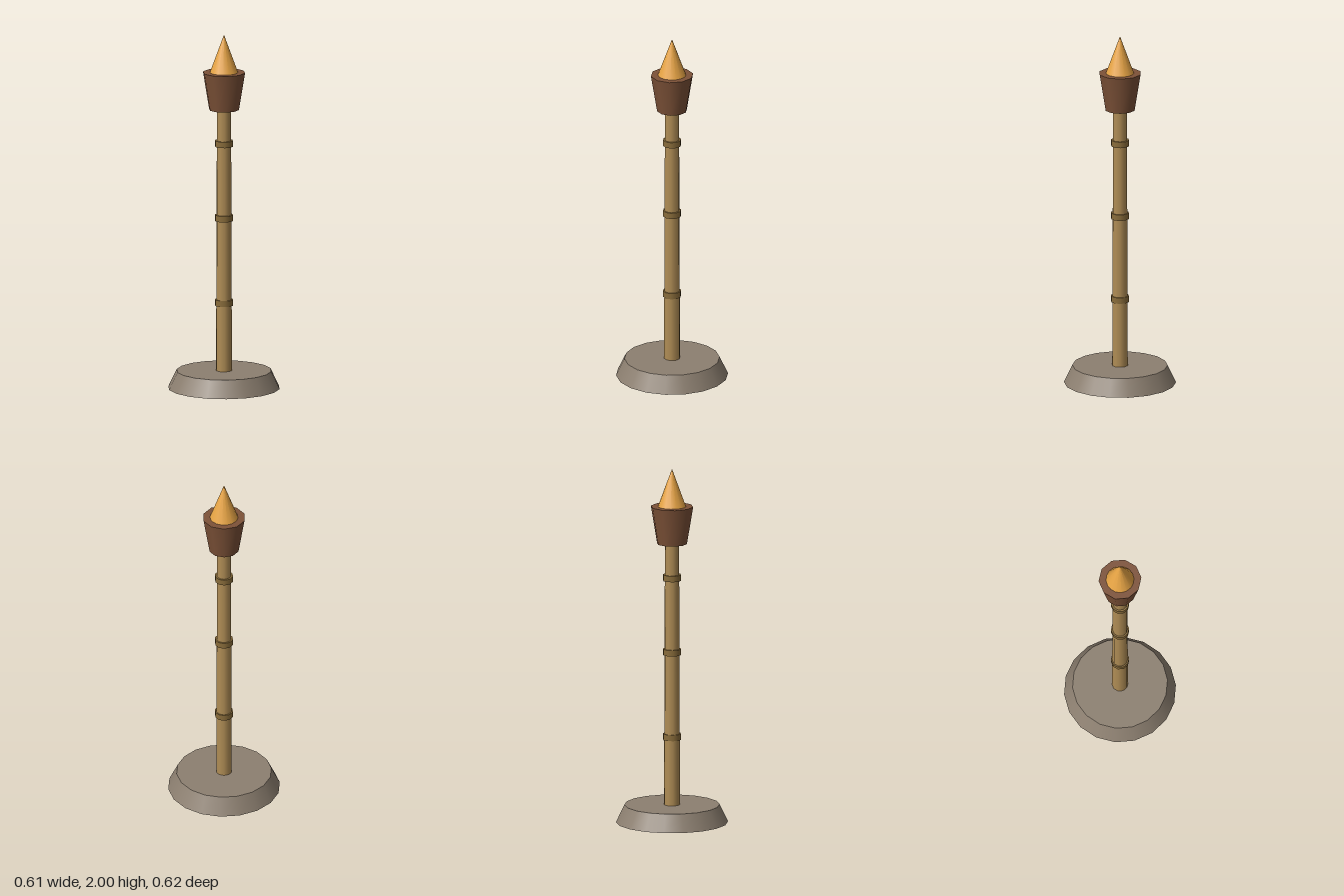
import * as THREE from 'three';

export function createModel() {
  const group = new THREE.Group();

  // Upright tapered cylinder spanning y0..y1
  function addPart(name, rBottom, rTop, y0, y1, sides, color) {
    const mesh = new THREE.Mesh(
      new THREE.CylinderGeometry(rTop, rBottom, y1 - y0, sides),
      new THREE.MeshStandardMaterial({ color })
    );
    mesh.name = name;
    mesh.position.y = (y0 + y1) / 2;
    group.add(mesh);
  }

  // Stone foot and bamboo pole
  addPart('base', 0.311, 0.264, 0, 0.098, 18, 0x8c7f70);
  addPart('pole', 0.045, 0.04, 0.098, 1.577, 10, 0xb08d55);

  // Bamboo joints
  [0.483, 0.963, 1.384].forEach((y, i) =>
    addPart(`poleRing${i + 1}`, 0.051, 0.051, y - 0.017, y + 0.017, 10, 0x8a6d3b));

  // Fuel cup and flame
  addPart('cup', 0.084, 0.119, 1.576, 1.787, 10, 0x7d5238);
  addPart('flame', 0.078, 0, 1.787, 2, 16, 0xe8a545);

  return group;
}
